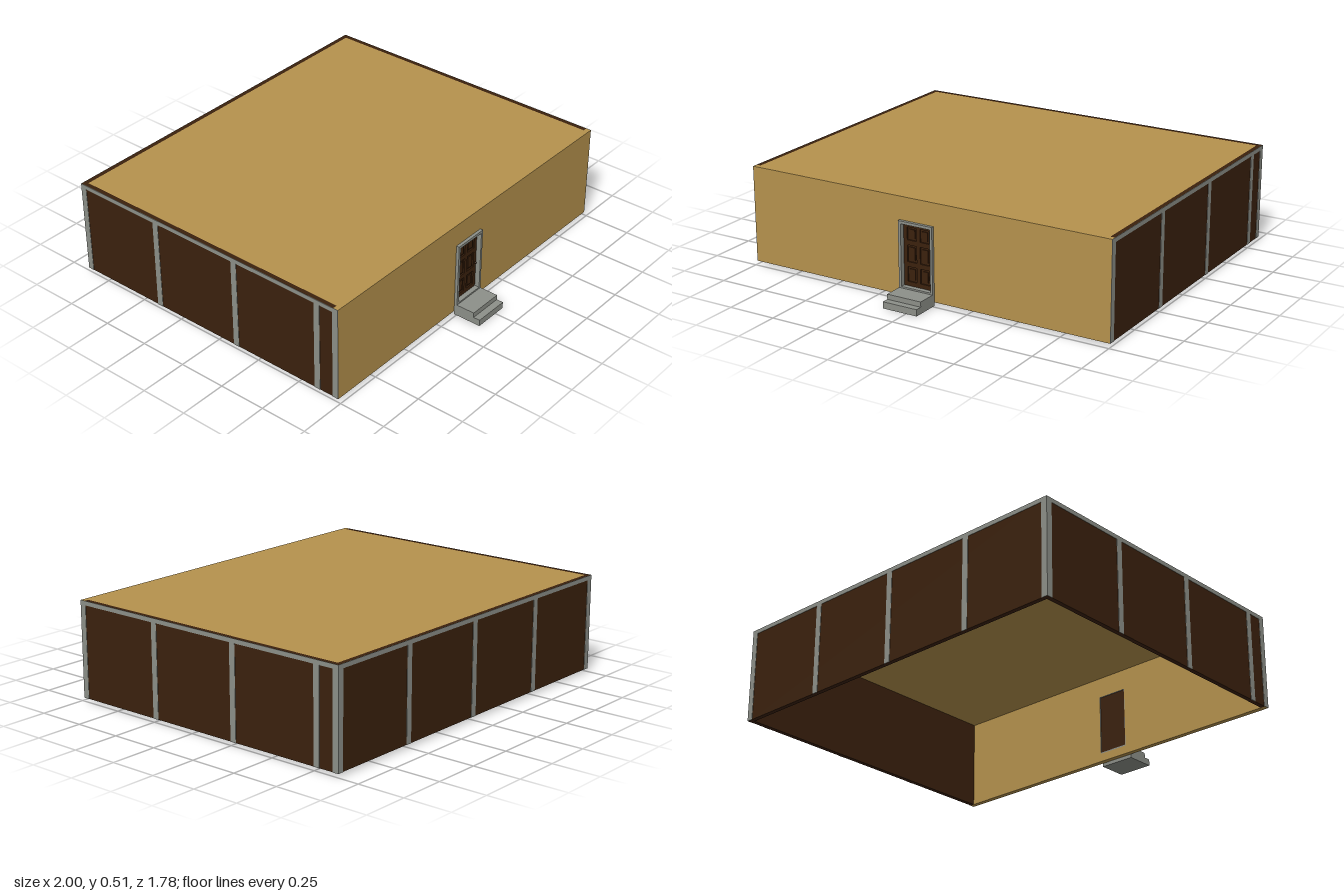
import * as THREE from 'three';

const tan = new THREE.MeshStandardMaterial({ color: 0xb5924d });
tan.name = 'tanPlaster';
const brown = new THREE.MeshStandardMaterial({ color: 0x3b210d });
brown.name = 'darkWood';
const grey = new THREE.MeshStandardMaterial({ color: 0x8d9089 });
grey.name = 'greyTrim';

// Main levels of the building
const Y0 = 0.018, Y1 = 0.515, BACK = -0.888, FRONT = 0.736, INNER = 0.709;
const PLATE = 0.002, POST = 0.033, BEAM = 0.022;

// Box given by its minimum and maximum along each axis
function box(parent, name, mat, x0, x1, y0, y1, z0, z1) {
  const mesh = new THREE.Mesh(new THREE.BoxGeometry(x1 - x0, y1 - y0, z1 - z0), mat);
  mesh.position.set((x0 + x1) / 2, (y0 + y1) / 2, (z0 + z1) / 2);
  mesh.name = name;
  parent.add(mesh);
  return mesh;
}

// Rectangular outline, as a Shape or as a hole
function rect(Type, x0, x1, y0, y1) {
  return new Type([[x0, y0], [x1, y0], [x1, y1], [x0, y1]].map(p => new THREE.Vector2(...p)));
}

// Rectangular frame with openings, extruded along z
function frame(parent, name, mat, outer, holes, z0, z1) {
  const shape = rect(THREE.Shape, ...outer);
  holes.forEach(h => shape.holes.push(rect(THREE.Path, ...h)));
  const mesh = new THREE.Mesh(
    new THREE.ExtrudeGeometry(shape, { depth: z1 - z0, bevelEnabled: false }), mat);
  mesh.position.z = z0;
  mesh.name = name;
  parent.add(mesh);
}

function createModel() {
  const model = new THREE.Group();
  model.name = 'building';

  // Front wall with a doorway, open floor, flat roof slab
  frame(model, 'frontWall', tan, [-1 + PLATE, 1 - PLATE, Y0, Y1], [[-0.118, 0.05, 0.062, 0.386]], INNER, FRONT);
  box(model, 'roof', tan, -0.975, 0.975, Y1 - 0.02, Y1, -0.863, INNER);

  // Dark side and back walls
  for (const s of [-1, 1]) {
    const a = s * 0.975, b = s * (1 - PLATE);
    box(model, s > 0 ? 'leftWall' : 'rightWall', brown, Math.min(a, b), Math.max(a, b), Y0, Y1, BACK + PLATE, INNER);
  }
  box(model, 'backWall', brown, -0.975, 0.975, Y0, Y1, BACK + PLATE, -0.863);

  // Grey posts and top beams, as thin plates on the outside of the walls
  const trim = new THREE.Group();
  trim.name = 'wallTrim';
  model.add(trim);
  const posts = {
    1: [FRONT - POST / 2, 0.238, -0.262, -0.762, BACK + POST / 2],
    [-1]: [FRONT - POST / 2, 0.612, 0.112, -0.388, BACK + POST / 2],
  };
  for (const s of [-1, 1]) {
    const x0 = s > 0 ? 1 - PLATE : -1, x1 = x0 + PLATE;
    posts[s].forEach(z => box(trim, 'sidePost', grey, x0, x1, Y0, Y1 - BEAM, z - POST / 2, z + POST / 2));
    box(trim, 'sideBeam', grey, x0, x1, Y1 - BEAM, Y1, BACK, FRONT);
  }
  for (const x of [-1 + POST / 2, -0.5, 0, 0.5, 1 - POST / 2])
    box(trim, 'backPost', grey, x - POST / 2, x + POST / 2, Y0, Y1 - BEAM, BACK, BACK + PLATE);
  box(trim, 'backBeam', grey, -1, 1, Y1 - BEAM, Y1, BACK, BACK + PLATE);

  // Door frame lining the doorway and standing proud of the wall
  const door = new THREE.Group();
  door.name = 'door';
  model.add(door);
  const opening = [-0.116, 0.048, 0.068, 0.384];
  frame(door, 'doorCasing', grey, [-0.13, 0.06, 0.06, 0.398], [opening], FRONT, 0.752);
  frame(door, 'doorJamb', grey, [-0.118, 0.05, 0.062, 0.386], [opening], INNER, FRONT);

  // Door leaf with two columns of sunken panels
  box(door, 'doorLeaf', brown, -0.116, 0.048, 0.068, 0.384, 0.714, 0.719);
  const panels = [];
  for (const [y0, y1] of [[0.09, 0.165], [0.19, 0.275], [0.3, 0.365]])
    for (const x0 of [-0.096, -0.024]) panels.push([x0, x0 + 0.052, y0, y1]);
  frame(door, 'doorRails', brown, opening, panels, 0.719, 0.726);
  panels.forEach(([x0, x1, y0, y1]) =>
    box(door, 'doorPanel', brown, x0 + 0.01, x1 - 0.01, y0 + 0.01, y1 - 0.01, 0.719, 0.724));
  const knob = new THREE.Mesh(new THREE.SphereGeometry(0.006, 12, 8), brown);
  knob.position.set(0.038, 0.21, 0.731);
  knob.name = 'doorKnob';
  door.add(knob);

  // Two entrance steps
  const steps = new THREE.Group();
  steps.name = 'steps';
  model.add(steps);
  box(steps, 'lowerStep', grey, -0.13, 0.06, 0, 0.034, FRONT, 0.888);
  box(steps, 'upperStep', grey, -0.13, 0.06, 0.034, 0.06, FRONT, 0.852);

  return model;
}

export { createModel };
